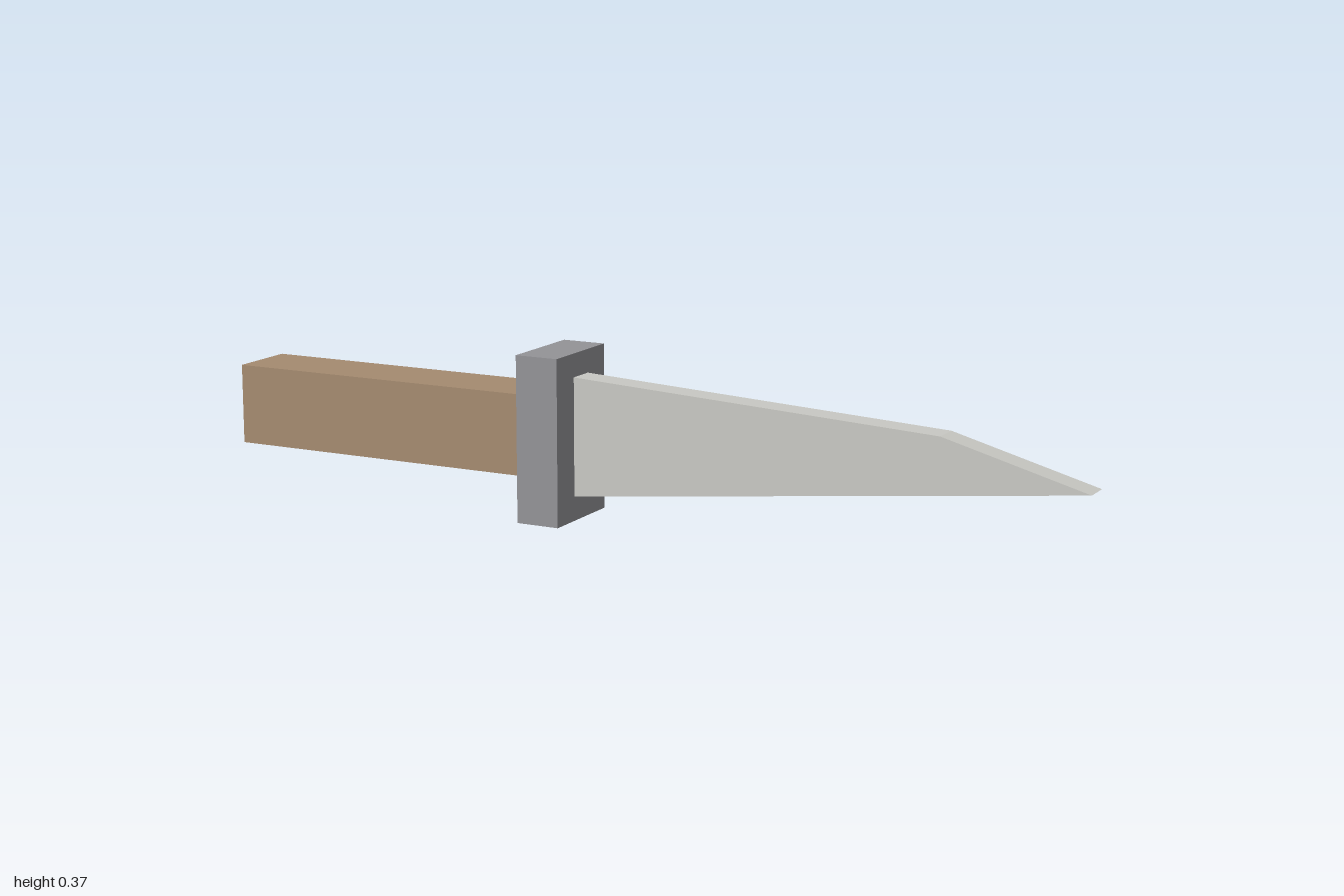
import * as THREE from 'three';

const material = (name, color) => {
  const m = new THREE.MeshStandardMaterial({ color });
  m.name = name;
  return m;
};

export function createModel() {
  const wood = material('wood brown', 0xa58b70);
  const iron = material('iron grey', 0x939397);
  const steel = material('pale steel', 0xc9c9c4);

  const group = new THREE.Group();
  group.name = 'knife';

  const add = (name, geometry, mat) => {
    const mesh = new THREE.Mesh(geometry, mat);
    mesh.name = name;
    group.add(mesh);
    return mesh;
  };

  // Square wooden grip
  add('handle', new THREE.BoxGeometry(0.74, 0.18, 0.156), wood).position.set(-0.63, 0.188, 0);

  // Upright cross guard
  add('guard', new THREE.BoxGeometry(0.1, 0.369, 0.21), iron).position.set(-0.211, 0.1845, 0);

  // Flat blade: straight edge below, clipped spine above
  const profile = new THREE.Shape([
    [-0.162, 0.054],
    [1, 0.187],
    [0.68, 0.273],
    [-0.162, 0.317],
  ].map(([x, y]) => new THREE.Vector2(x, y)));
  const thickness = 0.062;
  const blade = new THREE.ExtrudeGeometry(profile, { depth: thickness, bevelEnabled: false });
  add('blade', blade.translate(0, 0, -thickness / 2), steel);

  return group;
}
